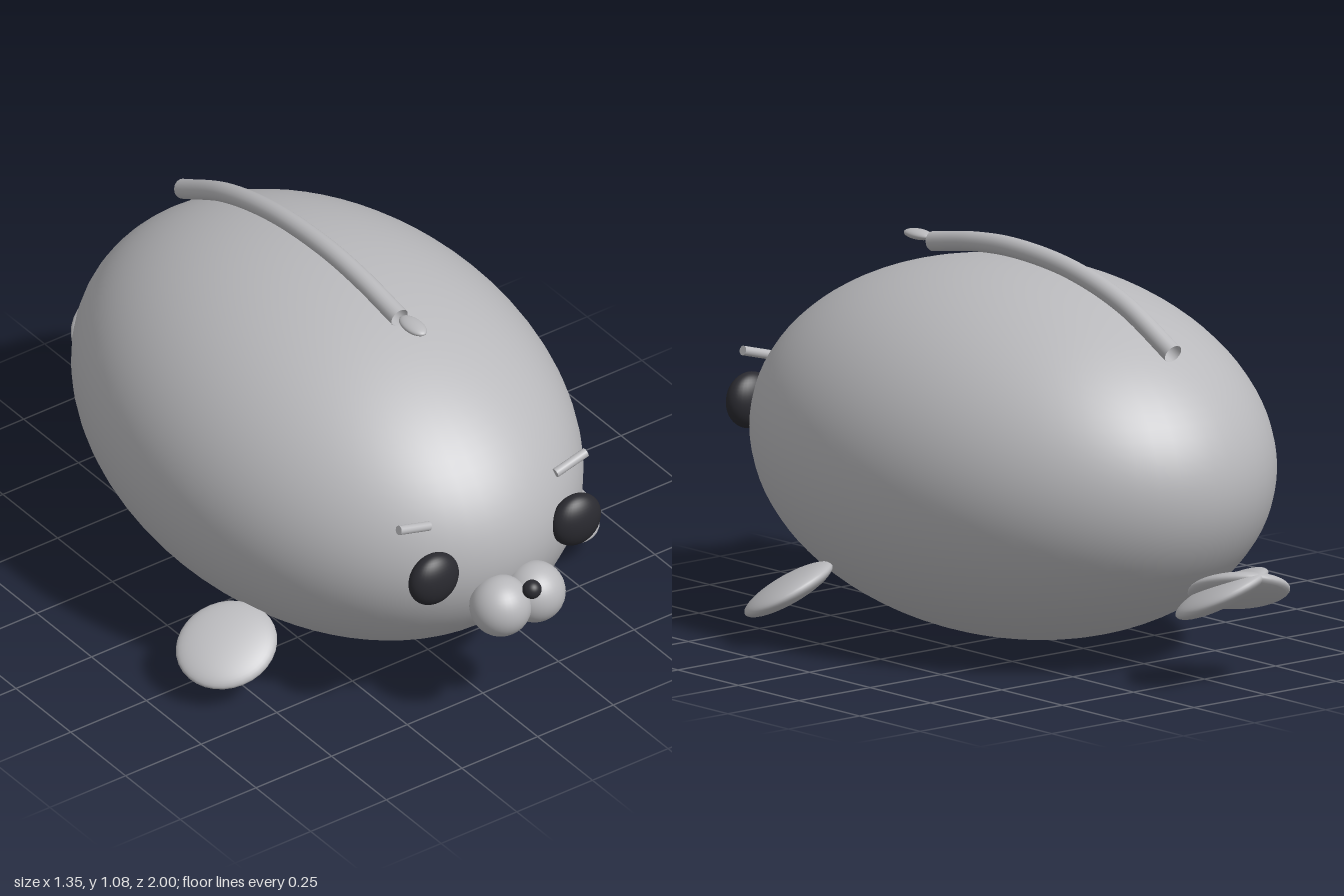
import * as THREE from 'three';

const material = (name, color, side = THREE.FrontSide) => {
  const m = new THREE.MeshStandardMaterial({ color, side });
  m.name = name;
  return m;
};

export function createModel() {
  const group = new THREE.Group();
  const grey = material('softGrey', 0xb9b9bc, THREE.DoubleSide);
  const dark = material('nearBlack', 0x2a2a30);

  const add = (name, geometry, mat, position, rotation = [0, 0, 0]) => {
    const mesh = new THREE.Mesh(geometry, mat);
    mesh.name = name;
    mesh.position.set(...position);
    mesh.rotation.set(...rotation);
    group.add(mesh);
    return mesh;
  };
  const ellipsoid = (rx, ry, rz, w = 32, h = 24) =>
    new THREE.SphereGeometry(1, w, h).scale(rx, ry, rz);

  // Plump egg-shaped body
  add('body', ellipsoid(0.586, 0.506, 0.845, 64, 48), grey, [0, 0.509, 0.04]);

  // Mirrored face parts and flippers
  for (const [side, s] of [['left', 1], ['right', -1]]) {
    add(side + 'Eye', ellipsoid(0.077, 0.077, 0.045), dark, [s * 0.235, 0.533, 0.85]);
    add(side + 'Cheek', ellipsoid(0.084, 0.084, 0.084), grey, [s * 0.056, 0.404, 0.908]);
    add(side + 'Brow', new THREE.CylinderGeometry(0.013, 0.013, 0.104, 16), grey,
      [s * 0.259, 0.675, 0.793], [0, 0, s * (-Math.PI / 2 + 0.26)]);
    add(side + 'FrontFlipper', ellipsoid(0.14, 0.035, 0.127), grey,
      [s * 0.543, 0.145, 0.33], [0.38, 0, -s * 0.34]);
    add(side + 'TailFlipper', ellipsoid(0.13, 0.035, 0.15), grey,
      [s * 0.03, 0.26, -0.857], [0.38, 0, -s * 0.31]);
  }
  add('nose', ellipsoid(0.026, 0.026, 0.026), dark, [0, 0.471, 0.974]);

  // Arched cord along the back with a small bead at its front end
  const arch = new THREE.CatmullRomCurve3(
    [[0.37, 1.015], [0.2, 1.043], [0.03, 1.053], [-0.2, 1.033], [-0.42, 0.973], [-0.62, 0.872]]
      .map(([z, y]) => new THREE.Vector3(0, y, z)));
  add('backCord', new THREE.TubeGeometry(arch, 48, 0.027, 20), grey, [0, 0, 0]);
  add('cordTip', ellipsoid(0.027, 0.014, 0.052), grey, [0, 1.024, 0.431]);

  return group;
}
